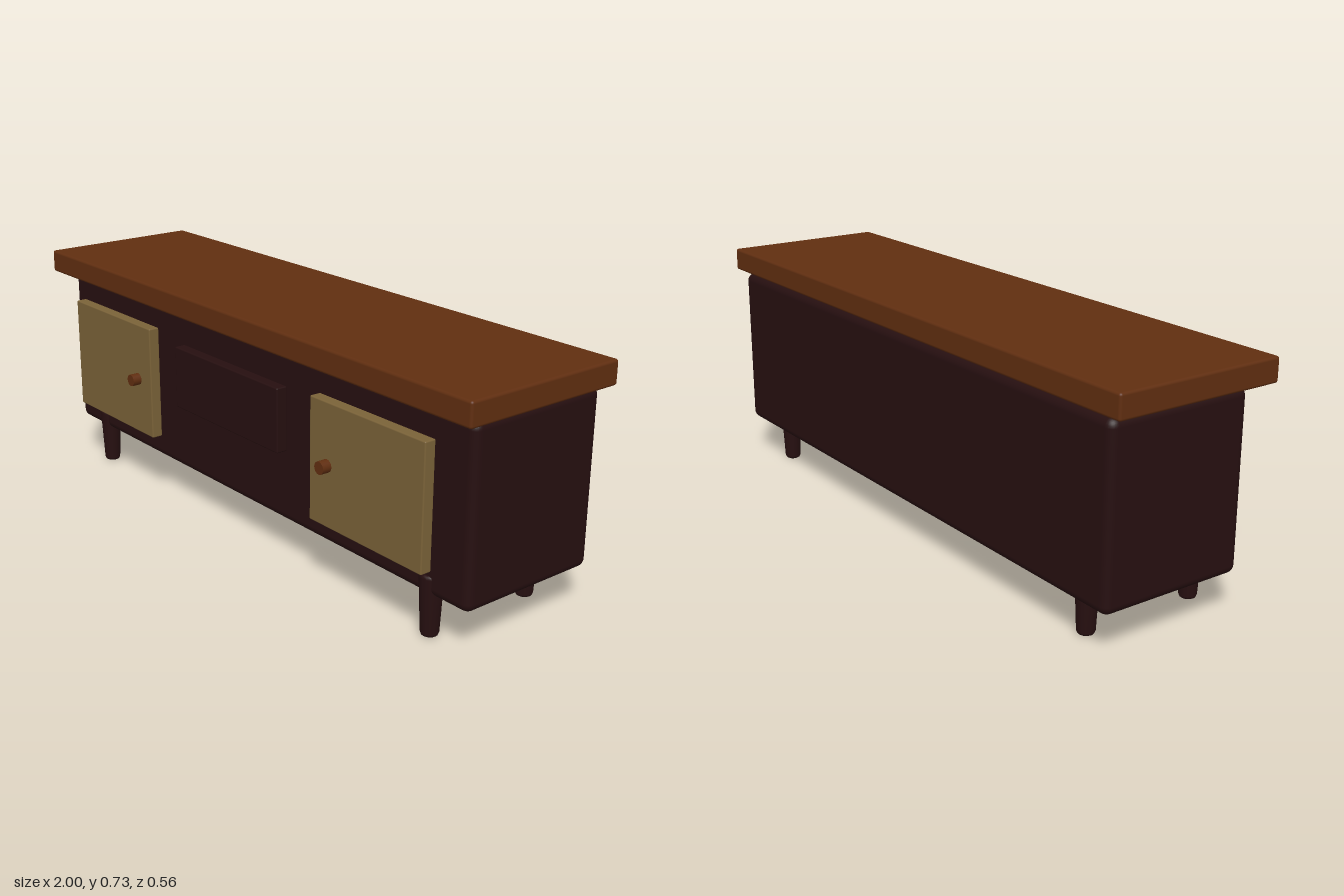
import * as THREE from 'three';
import { RoundedBoxGeometry } from 'three/addons/geometries/RoundedBoxGeometry.js';

const mat = (name, color) => {
  const m = new THREE.MeshStandardMaterial({ color });
  m.name = name;
  return m;
};

export function createModel() {
  const group = new THREE.Group();
  group.name = 'sideboard';
  const darkWood = mat('dark wood', 0x260f10);
  const brownWood = mat('brown wood', 0x602e10);
  const paleWood = mat('pale wood', 0x7a6238);

  const add = (name, geometry, material, x, y, z) => {
    const mesh = new THREE.Mesh(geometry, material);
    mesh.name = name;
    mesh.position.set(x, y, z);
    group.add(mesh);
    return mesh;
  };

  // Rounded slab given by its width and its y and z ranges
  const slab = (name, material, x, width, [y0, y1], [z0, z1], radius) =>
    add(name, new RoundedBoxGeometry(width, y1 - y0, z1 - z0, 3, radius),
      material, x, (y0 + y1) / 2, (z0 + z1) / 2);

  // Cabinet, overhanging top and middle drawer front
  slab('cabinetBody', darkWood, 0, 1.92, [0.125, 0.648], [-0.27, 0.193], 0.026);
  slab('tableTop', brownWood, 0, 2, [0.655, 0.727], [-0.282, 0.254], 0.008);
  slab('drawerFront', darkWood, 0, 0.51, [0.365, 0.56], [0.218, 0.254], 0.004);

  // Tapered round leg with softened ends
  const legProfile = [
    [0, 0], [0.018, 0], [0.023, 0.003], [0.026, 0.01],
    [0.034, 0.174], [0.032, 0.181], [0.027, 0.184], [0, 0.184],
  ].map(([r, y]) => new THREE.Vector2(r, y));
  const legGeometry = new THREE.LatheGeometry(legProfile, 16);
  const knobGeometry = new THREE.CylinderGeometry(0.019, 0.019, 0.031, 16).rotateX(Math.PI / 2);

  // Doors, knobs and legs mirrored on both sides
  for (const side of [-1, 1]) {
    const label = side > 0 ? 'left' : 'right';
    slab(`${label}Door`, paleWood, side * 0.625, 0.45, [0.216, 0.581], [0.218, 0.254], 0.004);
    add(`${label}Knob`, knobGeometry, brownWood, side * 0.475, 0.399, 0.2675);
    add(`${label}FrontLeg`, legGeometry, darkWood, side * 0.805, 0, 0.17);
    add(`${label}BackLeg`, legGeometry, darkWood, side * 0.805, 0, -0.197);
  }
  return group;
}
